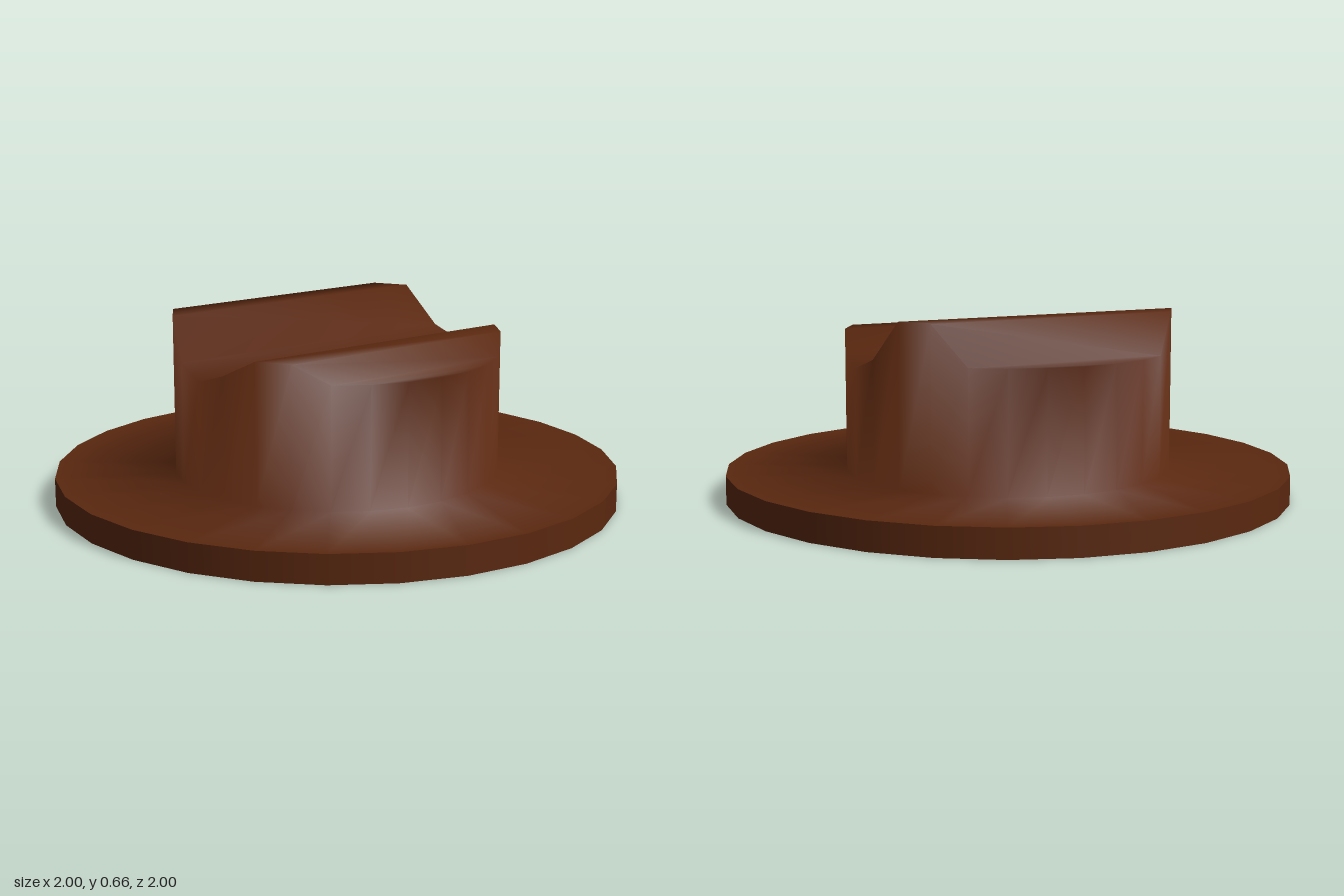
import * as THREE from 'three';

const SIDES = 28, HALF = SIDES / 2, QUARTER = SIDES / 4;
const BRIM_Y = 0.1, CROWN_R = 0.577;
// Crown height at each step from the right side (-x) to the left (+x)
const CREASES = [0.524, 0.524, 0.524, 0.524, 0.662, 0.662, 0.524, 0.481,
  0.524, 0.588, 0.588, 0.524, 0.524, 0.524, 0.524];

// Brim top, crown wall and pinched crown top as one smooth surface
function hatSurface() {
  const positions = [], index = [];
  const ring = (radius, height) => {
    for (let i = 0; i < SIDES; i++) {
      const a = (i / SIDES) * Math.PI * 2;
      positions.push(radius * Math.sin(a), height(i), radius * Math.cos(a));
    }
  };
  // The creases run straight from front to back, so height depends on x only
  const crownHeight = (i) => {
    let s = i > HALF + QUARTER ? i - SIDES : i;
    if (s > QUARTER) s = HALF - s;
    return CREASES[s + QUARTER];
  };
  ring(1, () => BRIM_Y);
  ring(CROWN_R, () => BRIM_Y);
  ring(CROWN_R, crownHeight);

  for (let r = 0; r < 2; r++) {
    for (let i = 0; i < SIDES; i++) {
      const a = r * SIDES + i, b = r * SIDES + (i + 1) % SIDES;
      index.push(a, b, b + SIDES, a, b + SIDES, a + SIDES);
    }
  }
  // Strips joining the front edge of the crown to the back edge
  const top = (i) => 2 * SIDES + (i + SIDES) % SIDES;
  for (let i = -QUARTER; i < QUARTER; i++) {
    const a = top(i), b = top(i + 1), c = top(HALF - 1 - i), d = top(HALF - i);
    if (b !== c) index.push(a, b, c);
    if (a !== d) index.push(a, c, d);
  }
  const g = new THREE.BufferGeometry();
  g.setAttribute('position', new THREE.Float32BufferAttribute(positions, 3));
  g.setIndex(index);
  g.computeVertexNormals();
  return g;
}

export function createModel() {
  const hat = new THREE.Group();
  hat.name = 'hat';
  const felt = new THREE.MeshStandardMaterial({ color: 0x5a2810 });
  const add = (name, geometry) => {
    const mesh = new THREE.Mesh(geometry, felt);
    mesh.name = name;
    hat.add(mesh);
    return mesh;
  };

  add('crownAndBrimTop', hatSurface());

  // Outer edge of the brim
  add('brimEdge', new THREE.CylinderGeometry(1, 1, BRIM_Y, SIDES, 1, true)).position.y = BRIM_Y / 2;

  // Flat underside
  add('brimUnderside', new THREE.CircleGeometry(1, SIDES).rotateX(Math.PI / 2));

  return hat;
}
